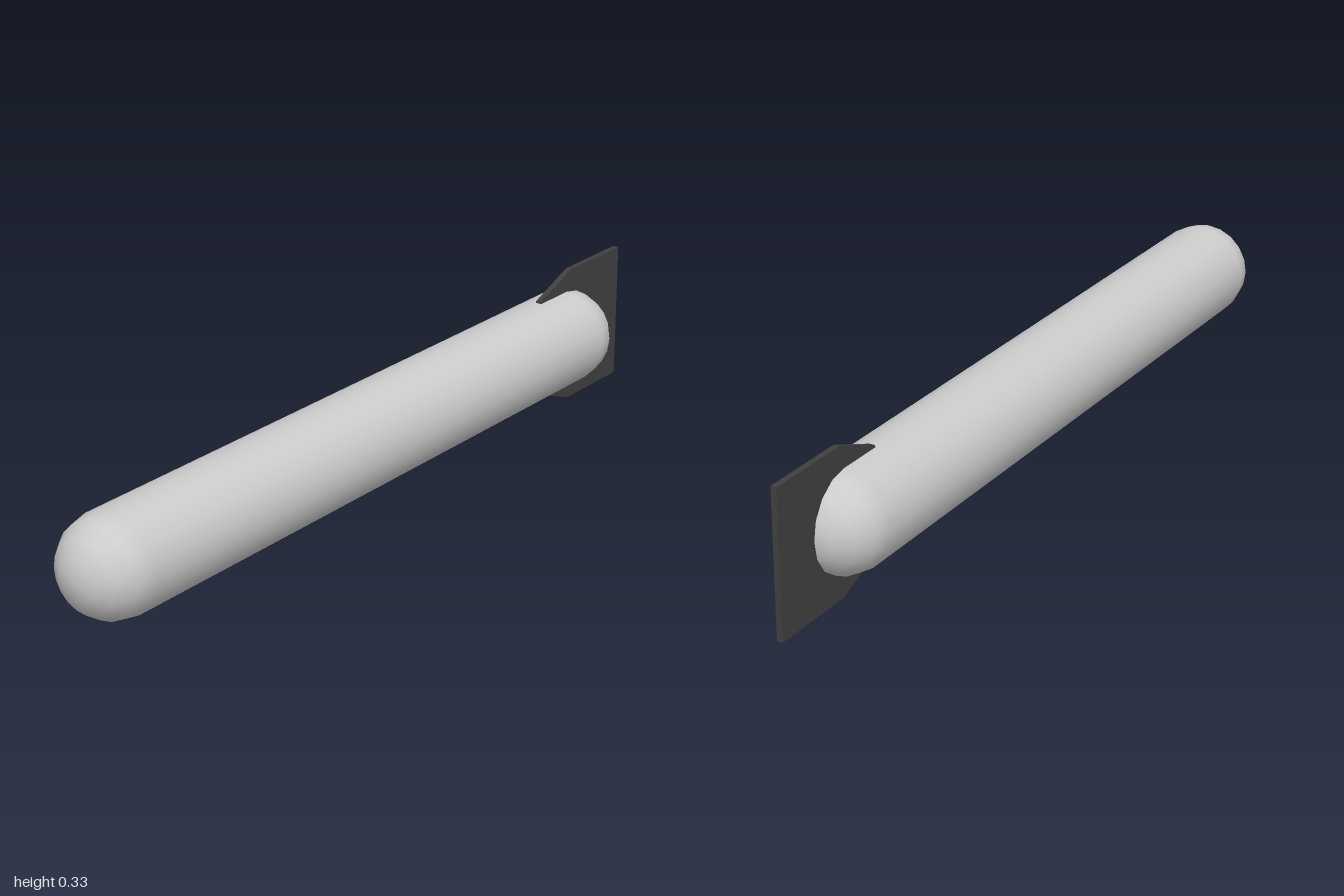
import * as THREE from 'three';

export function createModel() {
  const model = new THREE.Group();
  const radius = 0.115, midY = 0.167, front = 1, back = -0.88;

  // Round-ended body lying along z
  const bodyGeometry = new THREE.CapsuleGeometry(radius, front - back - 2 * radius, 4, 20);
  bodyGeometry.rotateX(Math.PI / 2);
  const body = new THREE.Mesh(bodyGeometry, new THREE.MeshStandardMaterial({ color: 0xcccccc }));
  body.name = 'body';
  body.position.set(0, midY, (front + back) / 2);
  model.add(body);

  // Thin upright tail fin with a tapered leading edge; profile is (distance back, height)
  const thickness = 0.014;
  const profile = [[0.65, 0.048], [0.78, 0], [1, 0], [1, 0.334], [0.78, 0.334], [0.65, 0.286]]
    .map(([d, y]) => new THREE.Vector2(d, y));
  const finGeometry = new THREE.ExtrudeGeometry(new THREE.Shape(profile), { depth: thickness, bevelEnabled: false });
  finGeometry.translate(0, 0, -thickness / 2);
  finGeometry.rotateY(Math.PI / 2);
  const fin = new THREE.Mesh(finGeometry, new THREE.MeshStandardMaterial({ color: 0x404040 }));
  fin.name = 'tailFin';
  model.add(fin);

  return model;
}
